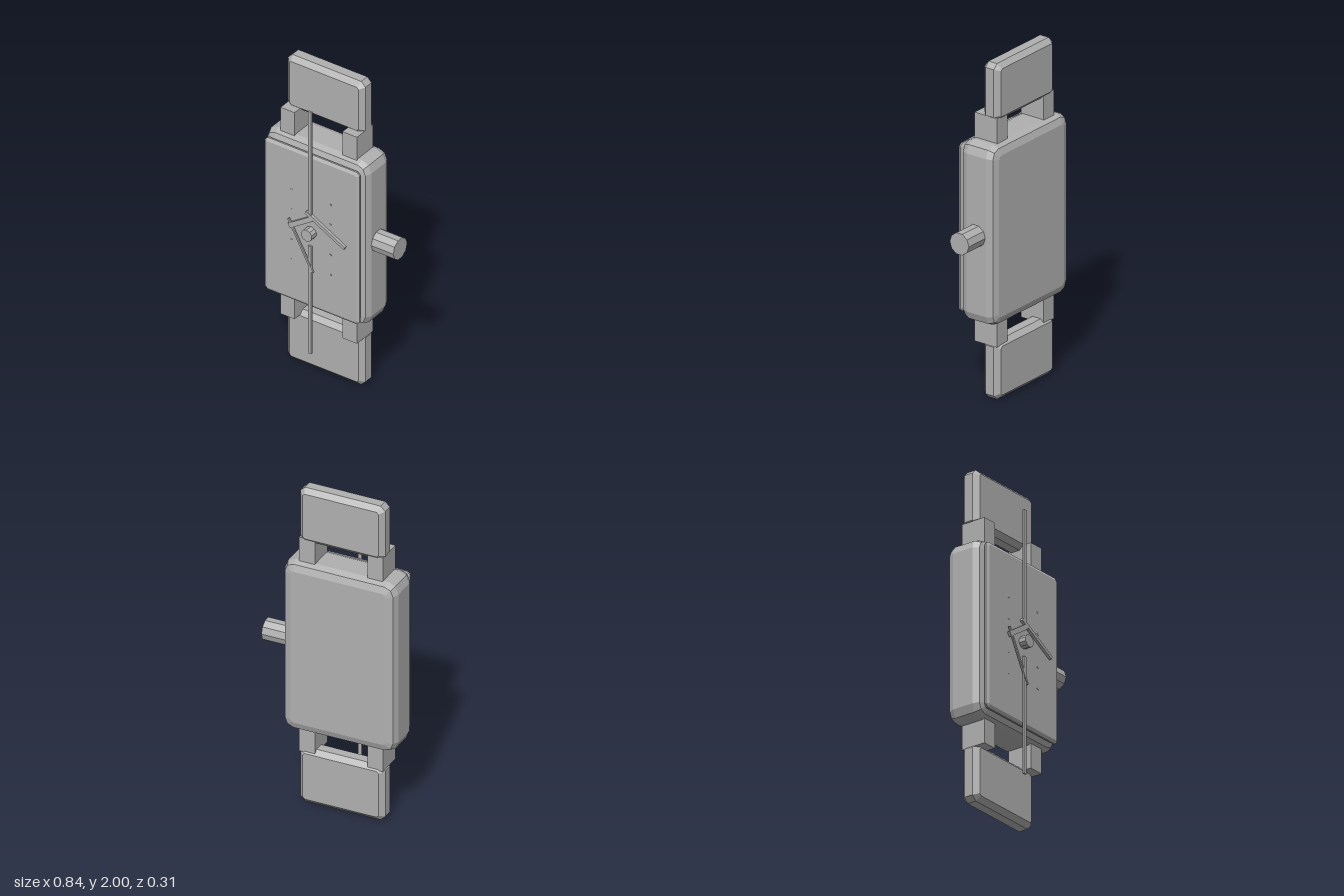
import * as THREE from 'three';

const metal = new THREE.MeshStandardMaterial({ color: 0xb0b0b0 });
metal.name = 'grey metal';
const CX = -0.074; // middle of the watch; the crown sticks out to one side

// Block with bevelled edges and cut corners; segs = facets per rounded edge
function slab(name, w, y0, y1, z0, z1, bevel, depth, corner, segs) {
  const s = new THREE.Shape();
  const x = w / 2 - corner, y = (y1 - y0) / 2 - corner, q = Math.PI / 2;
  [[x, y], [-x, y], [-x, -y], [x, -y]].forEach(([cx, cy], i) => {
    for (let k = 0; k <= segs; k++) {
      const a = q * (i + k / segs);
      const px = cx + corner * Math.cos(a), py = cy + corner * Math.sin(a);
      if (i + k === 0) s.moveTo(px, py); else s.lineTo(px, py);
    }
  });
  s.closePath();
  const geo = new THREE.ExtrudeGeometry(s, {
    depth: z1 - z0 - 2 * depth, bevelEnabled: true, bevelSegments: segs,
    bevelSize: bevel, bevelThickness: depth, bevelOffset: -bevel,
  });
  geo.translate(CX, (y0 + y1) / 2, z0 + depth);
  const mesh = new THREE.Mesh(geo, metal);
  mesh.name = name;
  return mesh;
}

function box(name, x0, x1, y0, y1, z0, z1) {
  const mesh = new THREE.Mesh(new THREE.BoxGeometry(x1 - x0, y1 - y0, z1 - z0), metal);
  mesh.position.set((x0 + x1) / 2, (y0 + y1) / 2, (z0 + z1) / 2);
  mesh.name = name;
  return mesh;
}

// Thin bar between two points on the dial
function bar(name, ax, ay, bx, by, width, z0, z1) {
  const len = Math.hypot(bx - ax, by - ay);
  const mesh = box(name, -len / 2, len / 2, -width / 2, width / 2, z0, z1);
  mesh.position.set((ax + bx) / 2, (ay + by) / 2, (z0 + z1) / 2);
  mesh.rotation.z = Math.atan2(by - ay, bx - ax);
  return mesh;
}

function knob(name, radius, length, sides) {
  const geo = new THREE.CylinderGeometry(radius, radius, length, sides).toNonIndexed();
  geo.computeVertexNormals();
  const mesh = new THREE.Mesh(geo, metal);
  mesh.name = name;
  return mesh;
}

export function createModel() {
  const g = new THREE.Group();
  g.name = 'wristwatch';

  // Case and raised dial
  g.add(slab('case', 0.69, 0.468, 1.538, -0.157, 0.077, 0.055, 0.05, 0.065, 2));
  g.add(slab('dial', 0.635, 0.503, 1.503, 0.079, 0.111, 0.018, 0.011, 0.018, 1));

  // Strap ends
  g.add(slab('upperStrap', 0.518, 1.66, 2.0, -0.123, -0.01, 0.028, 0.028, 0.028, 1));
  g.add(slab('lowerStrap', 0.518, 0.004, 0.35, -0.123, -0.01, 0.028, 0.028, 0.028, 1));

  // Lugs holding the strap
  for (const [x0, x1] of [[-0.328, -0.235], [0.086, 0.182]]) {
    g.add(box('upperLug', x0, x1, 1.46, 1.685, -0.114, 0.04));
    g.add(box('lowerLug', x0, x1, 0.325, 0.55, -0.114, 0.04));
  }

  // Winding crown
  const crown = knob('crown', 0.066, 0.178, 10);
  crown.rotation.z = -Math.PI / 2;
  crown.position.set(0.329, 1.0, -0.037);
  g.add(crown);

  // Centre pin
  const pin = knob('centrePin', 0.037, 0.045, 10);
  pin.rotation.x = Math.PI / 2;
  pin.position.set(CX, 1.0, 0.133);
  g.add(pin);

  // Hands
  g.add(bar('upperHand', CX, 1.12, CX, 1.8, 0.022, 0.115, 0.126));
  g.add(bar('lowerHand', CX, 0.208, CX, 0.915, 0.022, 0.115, 0.126));
  g.add(bar('hourHand', -0.1, 1.13, 0.16, 0.99, 0.02, 0.113, 0.13));
  g.add(bar('minuteHand', -0.21, 1.0, -0.06, 1.1, 0.03, 0.113, 0.13));
  g.add(bar('secondHand', -0.215, 1.045, -0.052, 0.75, 0.012, 0.12, 0.13));

  // Tiny markers almost flush with the dial
  for (const sx of [-1, 1]) {
    for (const dy of [-0.23, -0.1, 0.1, 0.23]) {
      const x = CX + sx * 0.13, y = 1 + dy;
      g.add(box('marker', x - 0.006, x + 0.006, y - 0.004, y + 0.004, 0.105, 0.113));
    }
  }
  return g;
}
